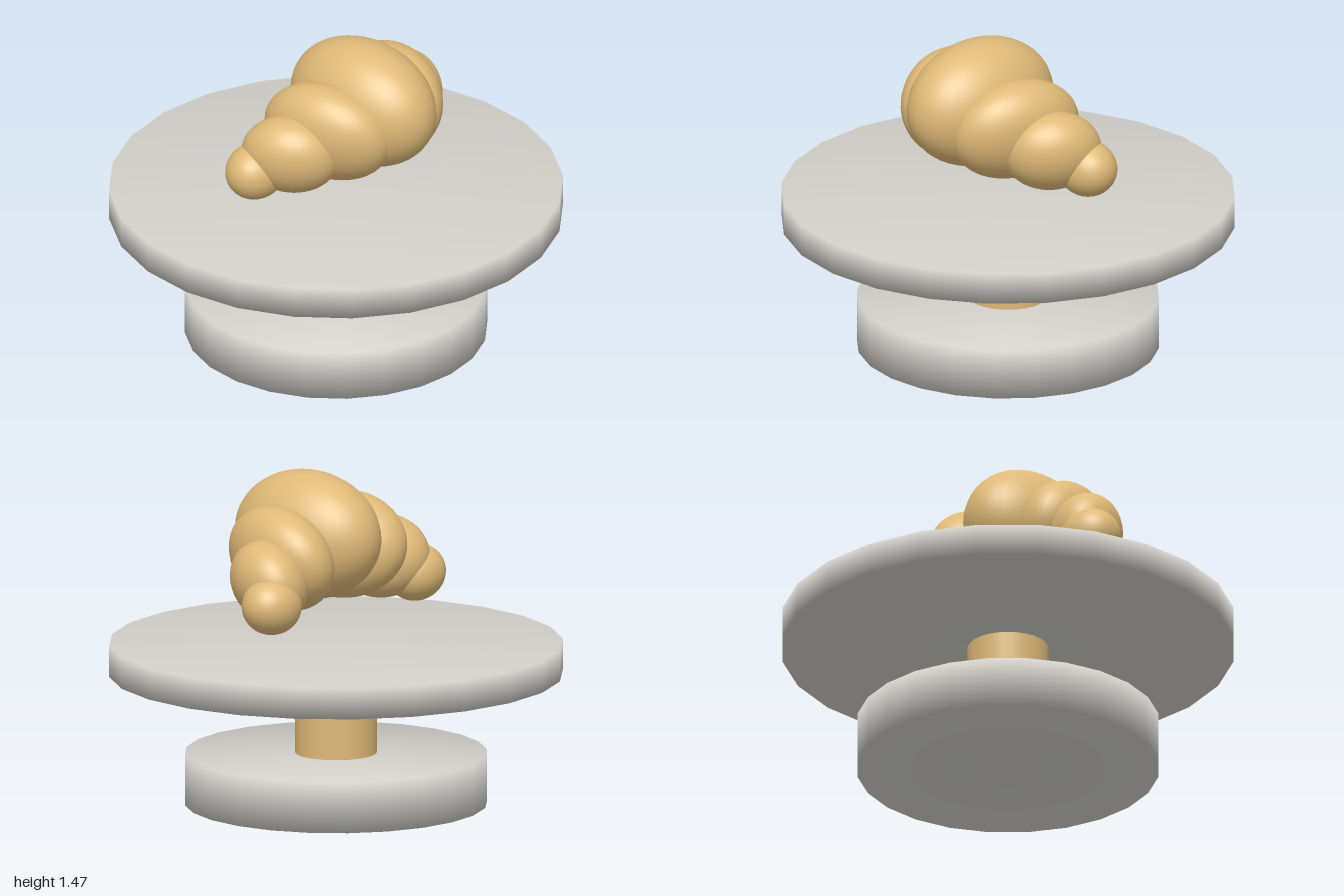
import * as THREE from 'three';
import { mergeVertices } from 'three/addons/utils/BufferGeometryUtils.js';

const stone = new THREE.MeshStandardMaterial({ color: 0xd0cfca });
stone.name = 'pale grey';
const pastry = new THREE.MeshStandardMaterial({ color: 0xdeb978 });
pastry.name = 'golden brown';

// Upright drum from y0 to y1 with normals blended softly over its rim
function drum(name, radius, y0, y1, material, soft) {
  let geo = new THREE.CylinderGeometry(radius, radius, y1 - y0, 24);
  if (soft) {
    geo.deleteAttribute('normal');
    geo.deleteAttribute('uv');
    geo = mergeVertices(geo);
    geo.computeVertexNormals();
  }
  const mesh = new THREE.Mesh(geo, material);
  mesh.name = name;
  mesh.position.y = (y0 + y1) / 2;
  return mesh;
}

// One swollen roll of the croissant
function roll(name, [x, y, z], radii, yaw, lean) {
  const mesh = new THREE.Mesh(new THREE.SphereGeometry(1, 40, 28), pastry);
  mesh.name = name;
  mesh.position.set(x, y, z);
  mesh.scale.set(...radii);
  mesh.rotation.set(0, yaw, lean);
  return mesh;
}

export function createModel() {
  const model = new THREE.Group();
  model.name = 'croissantStand';

  // Stand
  model.add(drum('base', 0.667, 0, 0.227, stone, true));
  model.add(drum('column', 0.18, 0.2, 0.6, pastry, false));
  model.add(drum('plate', 1, 0.58, 0.72, stone, true));

  // Croissant: a middle roll and three shrinking rolls on each side
  const croissant = new THREE.Group();
  croissant.name = 'croissant';
  croissant.add(roll('middleRoll', [0, 1.185, 0.16], [0.24, 0.285, 0.37], 0, 0));
  const sideRolls = [
    ['innerRoll', [0.21, 1.112, 0.135], [0.178, 0.24, 0.3], -0.23, -0.33],
    ['outerRoll', [0.38, 1.042, 0.065], [0.158, 0.188, 0.219], -0.5, -0.4],
    ['tip', [0.49, 0.964, -0.045], [0.142, 0.126, 0.125], 0, 0.12],
  ];
  for (const [name, [x, y, z], radii, yaw, lean] of sideRolls) {
    for (const s of [1, -1]) {
      const side = s > 0 ? 'Left' : 'Right';
      croissant.add(roll(name + side, [s * x, y, z], radii, s * yaw, s * lean));
    }
  }
  model.add(croissant);
  return model;
}
